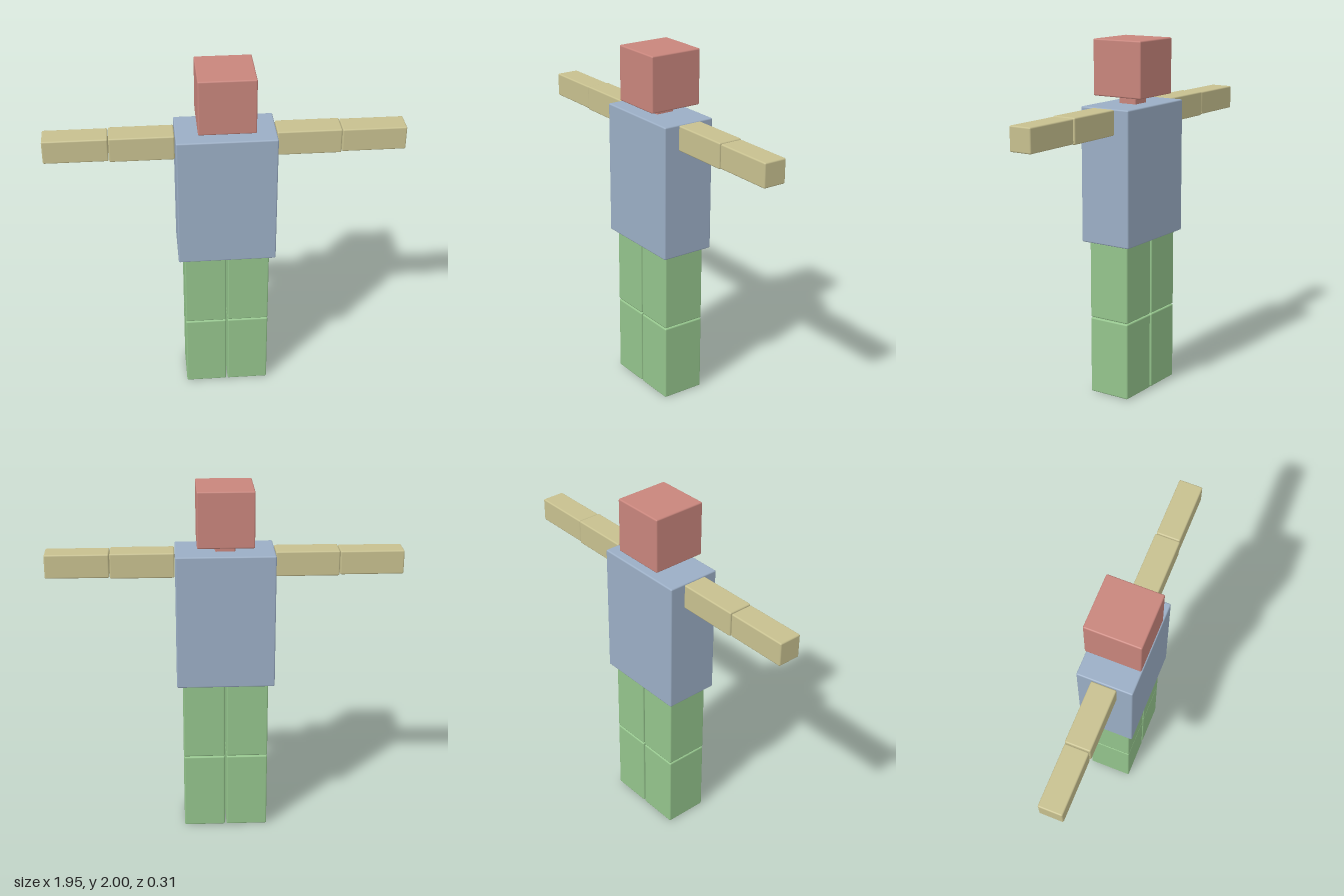
import * as THREE from 'three';
import { RoundedBoxGeometry } from 'three/addons/geometries/RoundedBoxGeometry.js';

function material(name, color) {
  const m = new THREE.MeshStandardMaterial({ color });
  m.name = name;
  return m;
}

export function createModel() {
  const model = new THREE.Group();
  model.name = 'blockFigure';

  const red = material('soft red', 0xc8857c);
  const blue = material('dusty blue', 0x9baec5);
  const yellow = material('straw yellow', 0xc7c08f);
  const green = material('leaf green', 0x94c48c);

  // Block with slightly softened edges, given by its x and y extents and its depth
  function block(name, mat, x0, x1, y0, y1, depth) {
    const geometry = new RoundedBoxGeometry(x1 - x0, y1 - y0, depth, 2, 0.008);
    const mesh = new THREE.Mesh(geometry, mat);
    mesh.name = name;
    mesh.position.set((x0 + x1) / 2, (y0 + y1) / 2, 0);
    model.add(mesh);
  }

  // Head, neck and torso
  block('head', red, -0.155, 0.155, 1.69, 2, 0.31);
  block('neck', red, -0.055, 0.055, 1.635, 1.7, 0.11);
  block('torso', blue, -0.272, 0.272, 0.888, 1.645, 0.31);

  // Arms and legs, mirrored in x
  for (const [side, s] of [['left', 1], ['right', -1]]) {
    const limb = (name, mat, inner, outer, y0, y1, depth) =>
      block(side + name, mat, Math.min(s * inner, s * outer), Math.max(s * inner, s * outer), y0, y1, depth);
    limb('UpperArm', yellow, 0.275, 0.625, 1.504, 1.644, 0.14);
    limb('Forearm', yellow, 0.628, 0.977, 1.508, 1.641, 0.133);
    limb('Thigh', green, 0.005, 0.238, 0.446, 0.885, 0.25);
    limb('Shin', green, 0.005, 0.238, 0, 0.442, 0.25);
  }

  return model;
}
